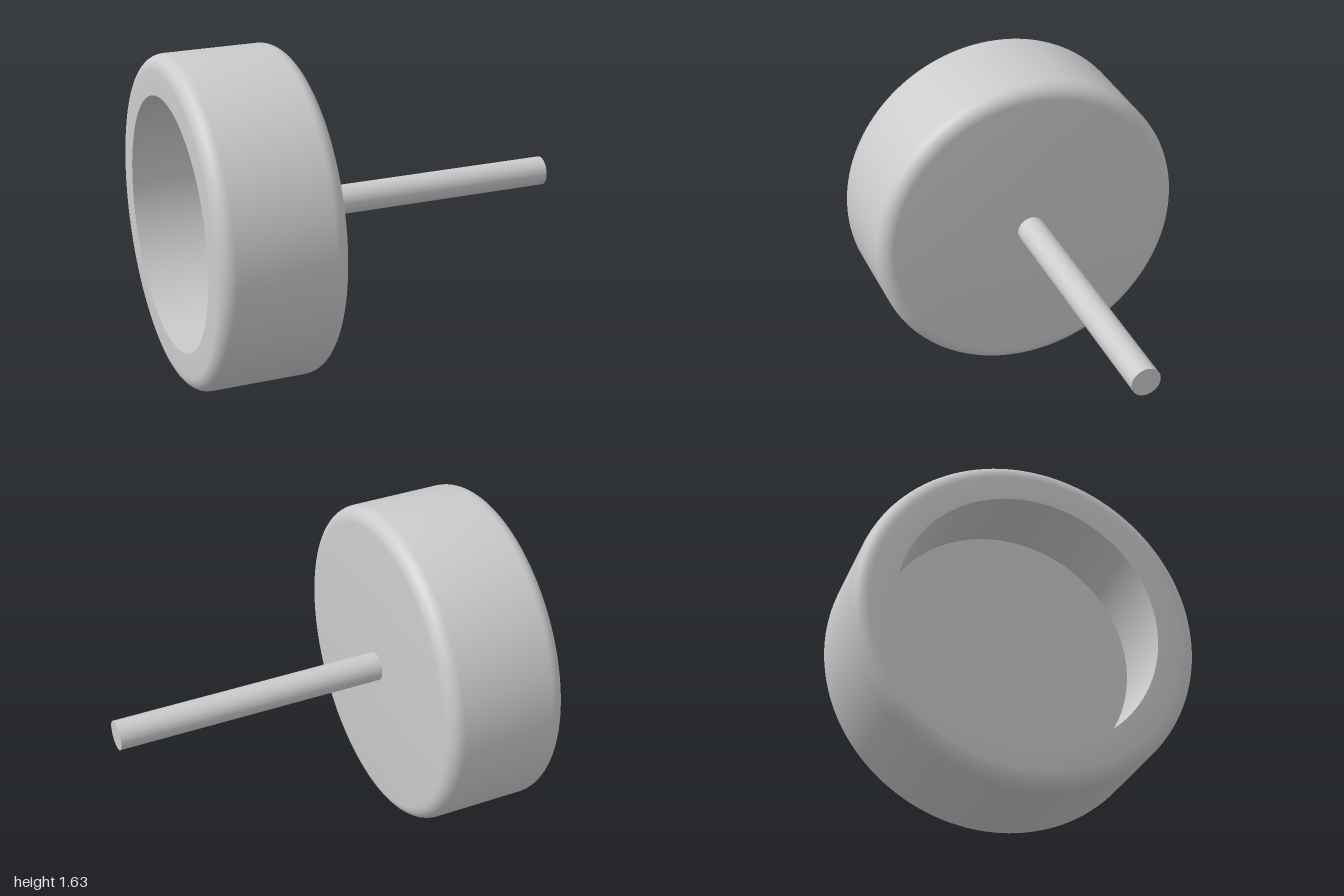
import * as THREE from 'three';
import { toCreasedNormals } from 'three/addons/utils/BufferGeometryUtils.js';

const RADIUS = 0.813, FILLET = 0.075, RECESS_RADIUS = 0.62;
const OPEN_X = -1, BACK_X = -0.38, FLOOR_X = -0.62, SHAFT_END_X = 1, SHAFT_RADIUS = 0.073;

// Rounded corner of the profile, as points of (radius, axial position)
function corner(axial, startAngle, steps = 8) {
  return Array.from({ length: steps + 1 }, (_, i) => {
    const a = startAngle + (i / steps) * Math.PI / 2;
    return new THREE.Vector2(RADIUS - FILLET + FILLET * Math.cos(a), axial + FILLET * Math.sin(a));
  });
}

export function createModel() {
  const model = new THREE.Group();
  model.name = 'wheelOnShaft';
  const material = new THREE.MeshStandardMaterial({ color: 0xcccccc });

  // Wheel: rounded drum with a round recess in its outer face
  const profile = [
    new THREE.Vector2(0, FLOOR_X),
    new THREE.Vector2(RECESS_RADIUS, FLOOR_X),
    new THREE.Vector2(RECESS_RADIUS, OPEN_X),
    ...corner(OPEN_X + FILLET, -Math.PI / 2),
    ...corner(BACK_X - FILLET, 0),
    new THREE.Vector2(0, BACK_X),
  ];
  const drum = toCreasedNormals(new THREE.LatheGeometry(profile, 128), Math.PI / 5);
  drum.rotateZ(-Math.PI / 2);
  const wheel = new THREE.Mesh(drum, material);
  wheel.name = 'wheel';

  // Shaft: plain rod from the closed face of the wheel
  const length = SHAFT_END_X - BACK_X;
  const rod = new THREE.CylinderGeometry(SHAFT_RADIUS, SHAFT_RADIUS, length, 48);
  rod.rotateZ(-Math.PI / 2);
  const shaft = new THREE.Mesh(rod, material);
  shaft.name = 'shaft';
  shaft.position.x = BACK_X + length / 2;

  for (const part of [wheel, shaft]) {
    part.position.y = RADIUS;
    model.add(part);
  }
  return model;
}
